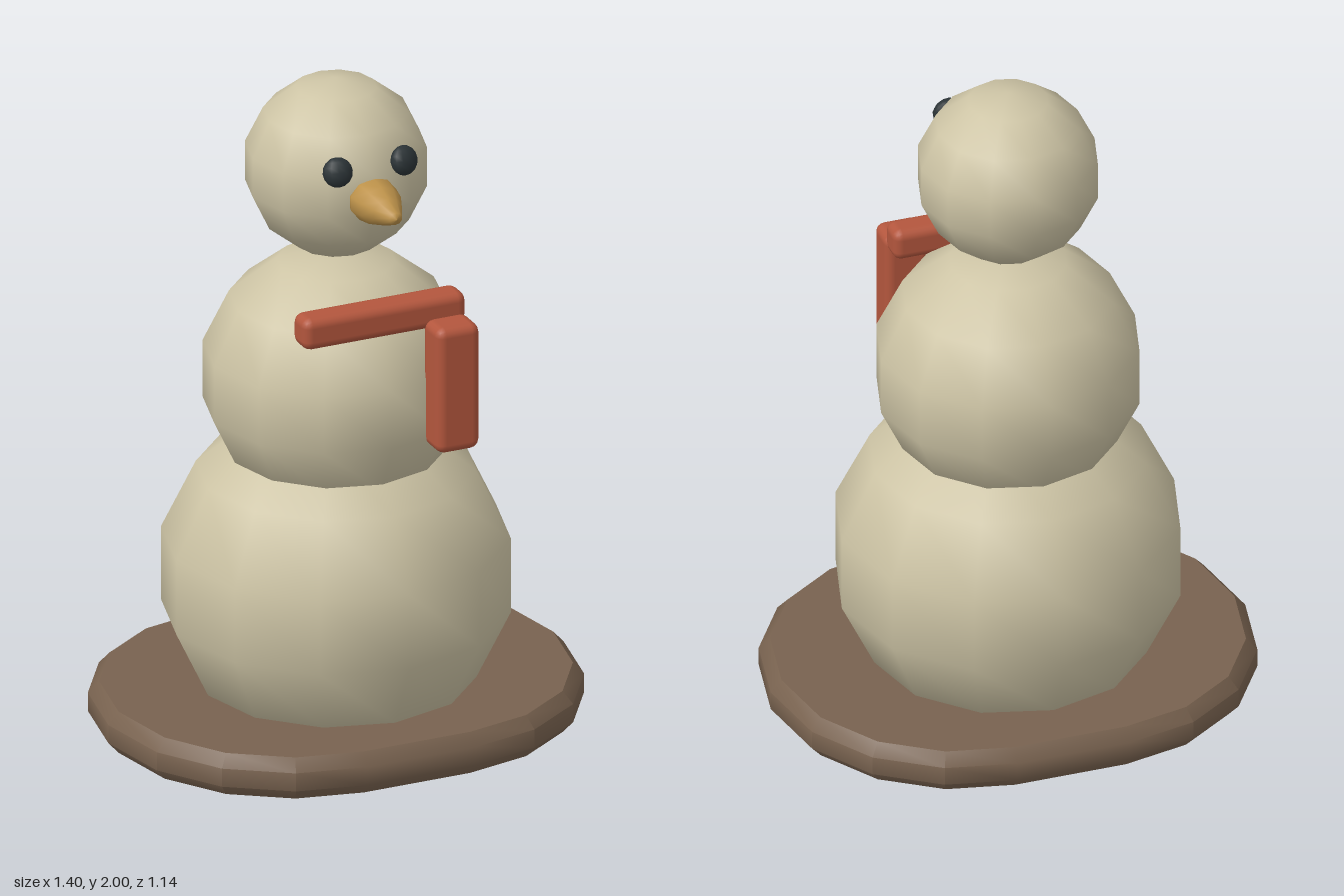
import * as THREE from 'three';
import { toCreasedNormals } from 'three/addons/utils/BufferGeometryUtils.js';
import { RoundedBoxGeometry } from 'three/addons/geometries/RoundedBoxGeometry.js';

const material = (name, color) => {
  const m = new THREE.MeshStandardMaterial({ color });
  m.name = name;
  return m;
};

export function createModel() {
  const group = new THREE.Group();
  const snow = material('snow cream', 0xcdc4a5);
  const wood = material('base brown', 0x78624f);
  const cloth = material('scarf red', 0xb3563d);
  const carrot = material('nose orange', 0xbd924a);
  const coal = material('eye black', 0x2b3336);

  const add = (name, geometry, mat, x = 0, y = 0, z = 0) => {
    const mesh = new THREE.Mesh(geometry, mat);
    mesh.name = name;
    mesh.position.set(x, y, z);
    group.add(mesh);
    return mesh;
  };

  // Three stacked low-poly balls
  for (const [name, radius, y] of [['lowerBody', 0.503, 0.503], ['upperBody', 0.384, 1.1], ['head', 0.262, 1.738]]) {
    add(name, new THREE.SphereGeometry(radius, 12, 7), snow, 0, y);
  }

  // Oval base plate with bevelled rims, mirrored from one quarter outline
  const quarter = [[0.7, 0], [0.657, 0.23], [0.54, 0.41], [0.367, 0.527], [0.167, 0.57]];
  const half = [...quarter, ...quarter.slice(1).reverse().map(([x, y]) => [-x, y])];
  const outline = [...half, ...half.map(([x, y]) => [-x, -y])];
  outline.splice(half.length, 0);
  const shape = new THREE.Shape(outline.map(([x, y]) => new THREE.Vector2(x, y)));
  const plate = new THREE.ExtrudeGeometry(shape, {
    depth: 0.055, bevelThickness: 0.035, bevelSize: 0.031, bevelOffset: -0.031, bevelSegments: 1,
  });
  plate.rotateX(-Math.PI / 2);
  add('basePlate', toCreasedNormals(plate, 0.78), wood, 0, 0.1);

  // Eyes, flattened against the face
  for (const side of [-1, 1]) {
    const eye = add(side > 0 ? 'leftEye' : 'rightEye', new THREE.SphereGeometry(0.043, 12, 8), coal, side * 0.102, 1.82, 0.232);
    eye.scale.z = 0.65;
    eye.rotation.set(-0.3, side * 0.25, 0);
  }

  // Blunt tapered nose pointing forward
  const profile = [[0, 0.2], [0.06, 0.205], [0.073, 0.25], [0.064, 0.3], [0.045, 0.345], [0.02, 0.398], [0, 0.406]];
  const nose = new THREE.LatheGeometry(profile.map(([r, h]) => new THREE.Vector2(r, h)), 10);
  nose.rotateX(Math.PI / 2);
  add('nose', nose, carrot, 0, 1.725).scale.y = 0.9;

  // Scarf: bar across the neck and hanging end
  add('scarfBand', new RoundedBoxGeometry(0.5, 0.095, 0.09, 2, 0.027), cloth, 0, 1.383, 0.29);
  add('scarfTail', new RoundedBoxGeometry(0.132, 0.38, 0.11, 2, 0.027), cloth, 0.185, 1.18, 0.37);

  return group;
}
